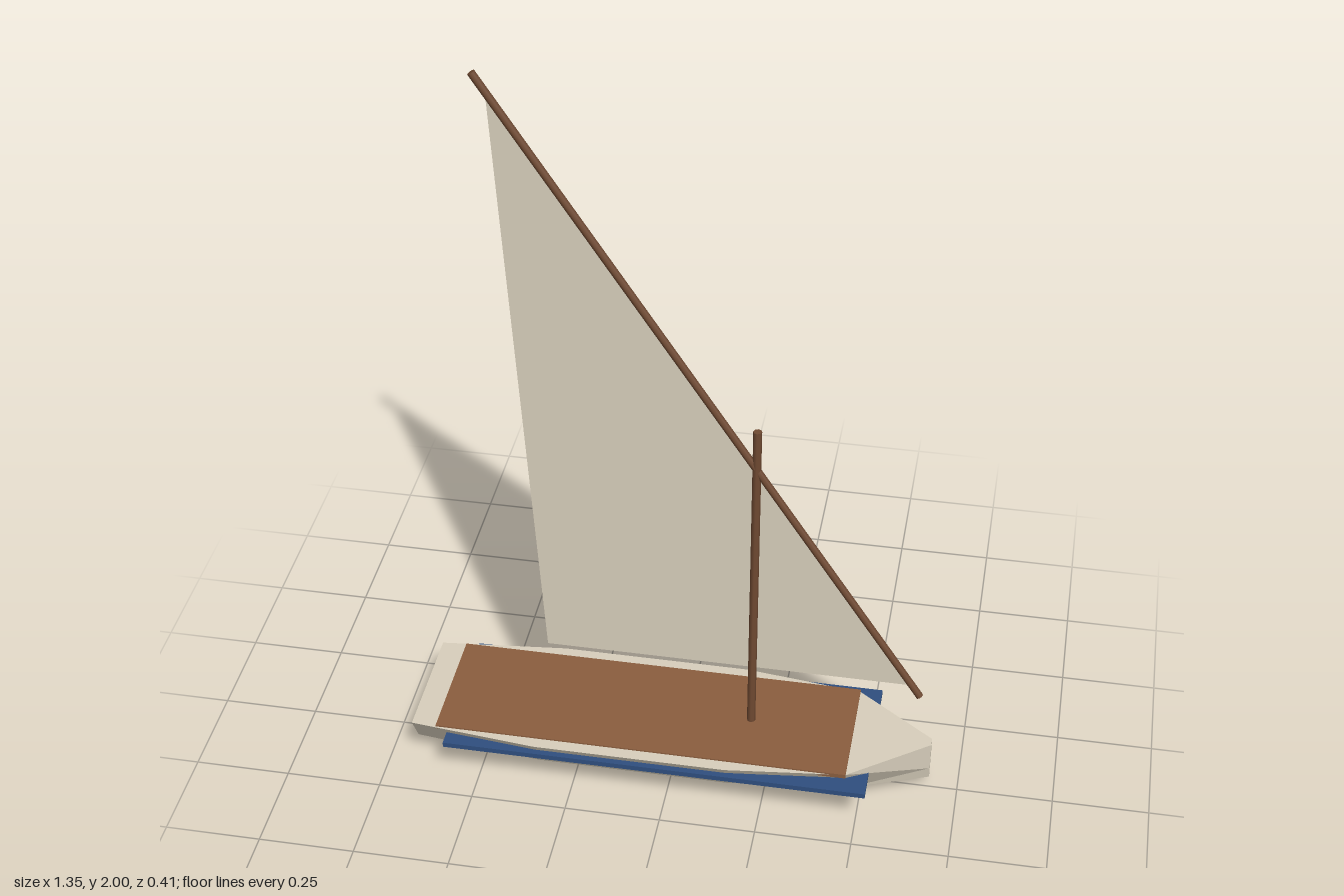
import * as THREE from 'three';

const material = (name, color, extra = {}) => {
  const m = new THREE.MeshStandardMaterial({ color, ...extra });
  m.name = name;
  return m;
};

// Hull stations from stern to bow: x, top half width, chine half width, chine y, keel y
const STATIONS = [
  [-0.675, 0.165, 0.115, 0.075, 0.026],
  [-0.34, 0.2, 0.142, 0.062, 0.004],
  [0.16, 0.2, 0.142, 0.062, 0.004],
  [0.47, 0.163, 0.11, 0.066, 0.015],
  [0.675, 0.012, 0.008, 0.075, 0.038],
];
const HULL_TOP = 0.16;

function hullGeometry() {
  const rings = STATIONS.map(([x, top, chine, chineY, keelY]) => [
    [x, HULL_TOP, top], [x, chineY, chine], [x, keelY, 0],
    [x, chineY, -chine], [x, HULL_TOP, -top],
  ]);
  const pos = [];
  const tri = (a, b, c) => pos.push(...a, ...b, ...c);
  // Sides, bottom and top between neighbouring stations
  for (let i = 0; i < rings.length - 1; i++) {
    for (let j = 0; j < 5; j++) {
      const k = (j + 1) % 5;
      const [a, b, c, d] = [rings[i][j], rings[i + 1][j], rings[i + 1][k], rings[i][k]];
      tri(a, d, c);
      tri(a, c, b);
    }
  }
  // Transom and stem caps
  const stern = rings[0], bow = rings[rings.length - 1];
  for (let j = 1; j < 4; j++) {
    tri(stern[0], stern[j + 1], stern[j]);
    tri(bow[0], bow[j], bow[j + 1]);
  }
  const geo = new THREE.BufferGeometry();
  geo.setAttribute('position', new THREE.Float32BufferAttribute(pos, 3));
  geo.computeVertexNormals();
  return geo;
}

export function createModel() {
  const boat = new THREE.Group();
  boat.name = 'sailboat';

  const cream = material('cream', 0xd9d0bd, { flatShading: true, side: THREE.DoubleSide });
  const deckBrown = material('deck brown', 0x8b5e3f);
  const sparBrown = material('spar brown', 0x704a32);
  const blue = material('blue', 0x2f4f7f);

  const add = (name, geo, mat, x = 0, y = 0, z = 0) => {
    const mesh = new THREE.Mesh(geo, mat);
    mesh.name = name;
    mesh.position.set(x, y, z);
    boat.add(mesh);
    return mesh;
  };

  // Round spar between two points in the centre plane
  const spar = (name, x0, y0, x1, y1, r) => {
    const length = Math.hypot(x1 - x0, y1 - y0);
    const mesh = add(name, new THREE.CylinderGeometry(r, r, length, 8), sparBrown,
      (x0 + x1) / 2, (y0 + y1) / 2);
    mesh.rotation.z = Math.atan2(x0 - x1, y1 - y0);
  };

  add('hull', hullGeometry(), cream);
  add('deck', new THREE.BoxGeometry(1.08, 0.012, 0.336), deckBrown, -0.07, 0.158, 0);

  // Rubbing rails along both sides
  for (const [side, name] of [[1, 'rightRail'], [-1, 'leftRail']]) {
    add(name, new THREE.BoxGeometry(1.108, 0.014, 0.086), blue, -0.029, 0.132, side * 0.161);
  }

  spar('mast', 0.2, 0.15, 0.2, 1.09, 0.011);
  spar('yard', 0.635, 0.312, -0.468, 1.995, 0.01);

  // Flat triangular sail hung from the yard
  const sail = new THREE.Shape([
    new THREE.Vector2(-0.34, 0.345),
    new THREE.Vector2(0.615, 0.345),
    new THREE.Vector2(-0.438, 1.948),
  ]);
  add('sail', new THREE.ShapeGeometry(sail), cream);

  return boat;
}
